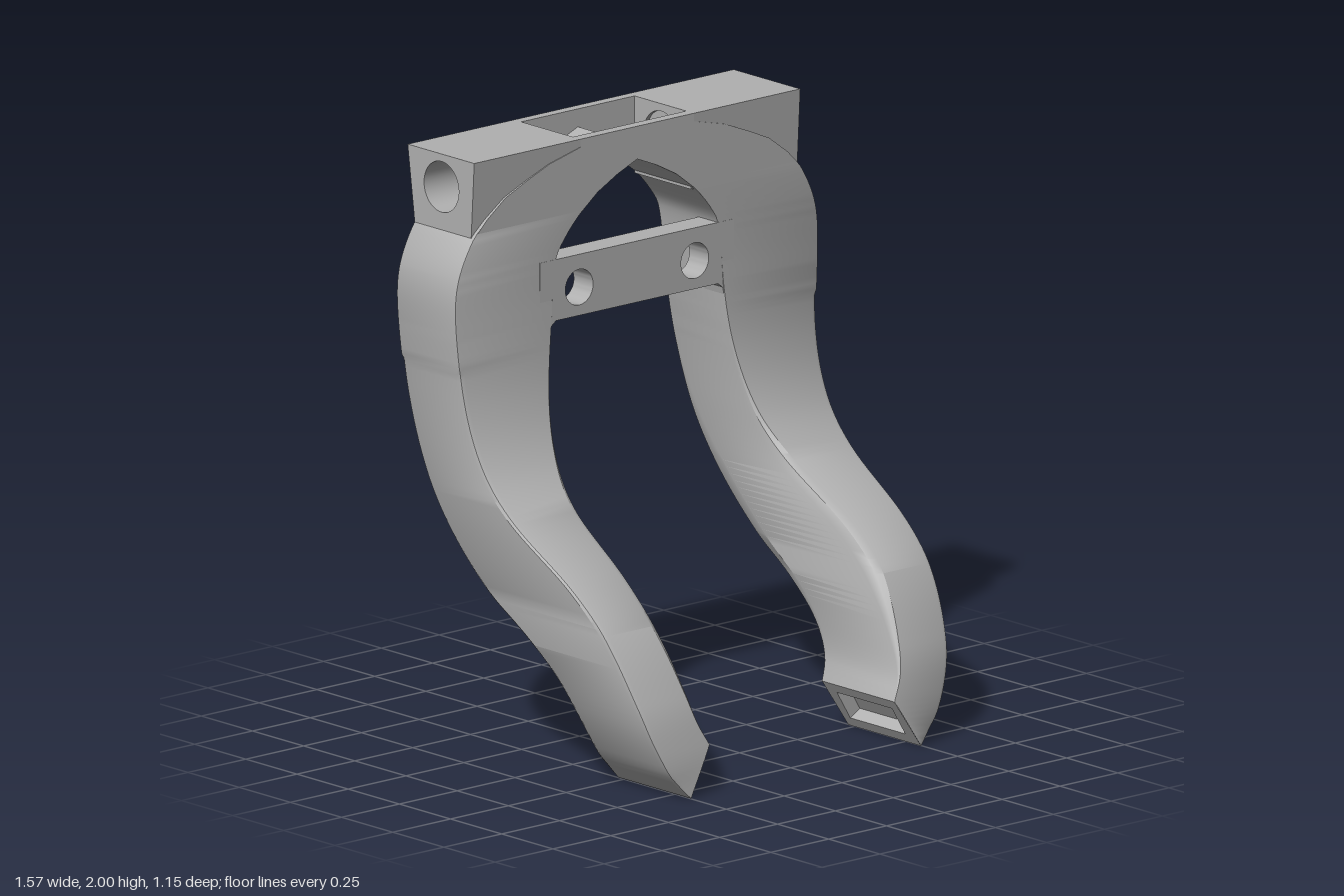
import * as THREE from 'three';
import { toCreasedNormals } from 'three/addons/utils/BufferGeometryUtils.js';

const grey = new THREE.MeshStandardMaterial({ color: 0xb0b0b0 });
grey.name = 'grey';

// Smooth curve through [t, value] pairs
function smooth(pts) {
  const n = pts.length - 1;
  const slope = i => {
    const a = pts[Math.max(i - 1, 0)], b = pts[Math.min(i + 1, n)];
    return (b[1] - a[1]) / (b[0] - a[0]);
  };
  return t => {
    let i = 0;
    while (i < n - 1 && t > pts[i + 1][0]) i++;
    const [t0, v0] = pts[i], [t1, v1] = pts[i + 1], h = t1 - t0;
    const u = Math.min(Math.max((t - t0) / h, 0), 1), u2 = u * u, u3 = u2 * u;
    return v0 * (2 * u3 - 3 * u2 + 1) + v1 * (3 * u2 - 2 * u3)
      + h * (slope(i) * (u3 - 2 * u2 + u) + slope(i + 1) * (u3 - u2));
  };
}

// Arm outline by height
const TIP_X = 0.497, TIP_Y = 0.16, GRIP_X = 0.4;
const front = smooth([[0, 0.575], [0.16, 0.555], [0.32, 0.51], [0.535, 0.39], [0.67, 0.245], [0.84, -0.02],
  [0.98, -0.15], [1.18, -0.226], [1.45, -0.25], [1.8, -0.25]]);
const back = smooth([[0, 0.22], [0.12, 0.208], [0.23, 0.18], [0.35, 0.11], [0.467, -0.02], [0.58, -0.18],
  [0.75, -0.34], [0.93, -0.445], [1.18, -0.515], [1.45, -0.537], [1.8, -0.545]]);
const outer = smooth([[0, TIP_X], [0.04, 0.54], [0.1, 0.59], [0.25, 0.655], [0.47, 0.7], [0.76, 0.73], [1.24, 0.767],
  [1.5, 0.785], [1.62, 0.77], [1.74, 0.71], [1.8, 0.65]]);
const innerCurve = smooth([[0.16, GRIP_X], [0.24, 0.43], [0.36, 0.437], [0.5, 0.432], [0.8, 0.412], [1.13, 0.397],
  [1.4, 0.373], [1.617, 0.35], [1.695, 0.3], [1.752, 0.245], [1.8, 0.185]]);
const inner = y => y < TIP_Y ? TIP_X + (GRIP_X - TIP_X) * y / TIP_Y : innerCurve(y);
const bevel = smooth([[0.16, 0], [0.25, 0.012], [0.4, 0.04], [0.6, 0.08], [0.8, 0.075], [1, 0.033], [1.2, 0.008], [1.4, 0], [1.8, 0]]);

// Loft of horizontal sections; the slanted tip face stays open for the tip plate
function armGeometry() {
  const rows = 90, rings = [], pos = [];
  for (let j = 0; j <= rows; j++) {
    const y = 1.8 * j / rows, xo = outer(y), xi = inner(y), zf = front(y), zb = back(y), c = bevel(y);
    const e = Math.min(y > 1.3 ? 0.006 : 0.02, (xo - xi) * 0.25);
    rings.push([
      [xo - e, zb], [xo - e * 0.3, zb + e * 0.3], [xo, zb + e],
      [xo, zf - e], [xo - e * 0.3, zf - e * 0.3], [xo - e, zf],
      [xi + c, zf], [xi + c * 0.7, zf - c * 0.25], [xi + c * 0.5, zf - c * 0.8],
      [xi, zb + c], [xi + c * 0.3, zb],
    ].map(([x, z]) => [x, y, z]));
  }
  const count = rings[0].length;
  for (let j = 0; j < rows; j++) {
    const tip = rings[j + 1][0][1] < TIP_Y + 0.001;
    for (let i = 0; i < count; i++) {
      if (tip && i >= 6 && i <= 9) continue;
      const k = (i + 1) % count;
      const a = rings[j][i], b = rings[j][k], c = rings[j + 1][k], d = rings[j + 1][i];
      pos.push(...a, ...d, ...c, ...a, ...c, ...b);
    }
  }
  const g = new THREE.BufferGeometry();
  g.setAttribute('position', new THREE.Float32BufferAttribute(pos, 3));
  return g;
}

const polygon = pts => new THREE.Shape(pts.map(p => new THREE.Vector2(...p)));
const rect = (x0, y0, x1, y1) => polygon([[x0, y0], [x1, y0], [x1, y1], [x0, y1]]);
const circle = (x, y, r) => new THREE.Path().absarc(x, y, r, 0, Math.PI * 2, true);

// Shape in the XY plane extruded between two z positions
function slab(shape, z0, z1) {
  return new THREE.ExtrudeGeometry(shape, { depth: z1 - z0, bevelEnabled: false, curveSegments: 24 }).translate(0, 0, z0);
}

// Tip face with a rectangular recess, laid onto the slanted arm end
function tipGeometries() {
  const L = Math.hypot(TIP_X - GRIP_X, TIP_Y);
  const d = new THREE.Vector3((GRIP_X - TIP_X) / L, TIP_Y / L, 0), z = new THREE.Vector3(0, 0, 1);
  const m = new THREE.Matrix4().makeBasis(z, d, z.clone().cross(d)).setPosition(TIP_X, 0, 0);
  const recess = rect(0.25, 0.037, 0.52, L - 0.037);
  const face = polygon([[back(0), 0], [front(0), 0], [front(TIP_Y), L], [back(TIP_Y), L]]);
  const walls = rect(0.245, 0.032, 0.525, L - 0.032);
  face.holes.push(recess);
  walls.holes.push(recess);
  return {
    tipFace: new THREE.ShapeGeometry(face).applyMatrix4(m),
    tipRecessWalls: slab(walls, -0.05, -0.001).applyMatrix4(m),
    tipRecessFloor: new THREE.ShapeGeometry(recess).translate(0, 0, -0.049).applyMatrix4(m),
  };
}

// Mirror in x and restore the corner order
function mirrored(geometry) {
  const g = geometry.index ? geometry.toNonIndexed() : geometry.clone();
  g.scale(-1, 1, 1);
  const p = g.attributes.position;
  for (let i = 0; i < p.count; i += 3) {
    const a = [p.getX(i), p.getY(i), p.getZ(i)];
    p.setXYZ(i, p.getX(i + 2), p.getY(i + 2), p.getZ(i + 2));
    p.setXYZ(i + 2, ...a);
  }
  return g;
}

export function createModel() {
  const group = new THREE.Group();
  const add = (name, geometry) => {
    geometry.deleteAttribute('uv');
    geometry.deleteAttribute('normal');
    const mesh = new THREE.Mesh(toCreasedNormals(geometry, 0.55), grey);
    mesh.name = name;
    group.add(mesh);
  };
  const addPair = (name, geometry) => {
    const other = mirrored(geometry);
    add(name + 'Left', geometry);
    add(name + 'Right', other);
  };

  // Curved arms with recessed tips
  addPair('arm', armGeometry());
  for (const [name, g] of Object.entries(tipGeometries())) addPair(name, g);

  // Top block ends with blind pin holes
  const end = polygon([[0.25, 2], [0.265, 1.742], [0.54, 1.742], [0.575, 2]]);
  end.holes.push(circle(0.41, 1.89, 0.085));
  addPair('blockEnd', slab(end, 0, 0.46).rotateY(Math.PI / 2).translate(0.245, 0, 0));
  addPair('pinHoleFloor', new THREE.CylinderGeometry(0.087, 0.087, 0.14, 32).rotateZ(Math.PI / 2).translate(0.33, 1.89, -0.41));

  // Pointed arch under the block, from left to right
  const half = [[0.245, 1.752], [0.17, 1.81], [0.085, 1.855], [0, 1.89]];
  const arch = [...half, ...half.slice(0, 3).reverse().map(([x, y]) => [-x, y])];
  const wall = polygon([...arch, [-0.245, 2], [0.245, 2]]);
  add('pocketFrontWall', slab(wall, -0.288, -0.25));
  const rear = slab(wall, -0.575, -0.54), p = rear.attributes.position;
  for (let i = 0; i < p.count; i++) {
    if (p.getZ(i) < -0.57) p.setZ(i, -0.575 + (2 - p.getY(i)) * 0.12);
  }
  add('pocketBackWall', rear);
  const roof = [...arch].reverse().map(([x, y]) => [x, y + 0.05]);
  add('pocketFloor', slab(polygon([...arch, ...roof]), -0.545, -0.28));

  // Arch face running flush from the arms over the block
  addPair('archFace', slab(polygon([[0.245, 1.76], [0.69, 1.76], [0.65, 1.8], [0.57, 1.86], [0.48, 1.9],
    [0.38, 1.94], [0.245, 1.973]]), -0.268, -0.25));

  // Cross bar with two screw holes and small lower fillets
  const bar = polygon([[-0.42, 1.615], [-0.42, 1.37], [-0.376, 1.37], [-0.37, 1.395], [-0.35, 1.41],
    [0.35, 1.41], [0.37, 1.395], [0.376, 1.37], [0.42, 1.37], [0.42, 1.615]]);
  bar.holes.push(circle(-0.25, 1.505, 0.06), circle(0.25, 1.505, 0.06));
  add('crossBar', slab(bar, -0.345, -0.251));

  return group;
}
